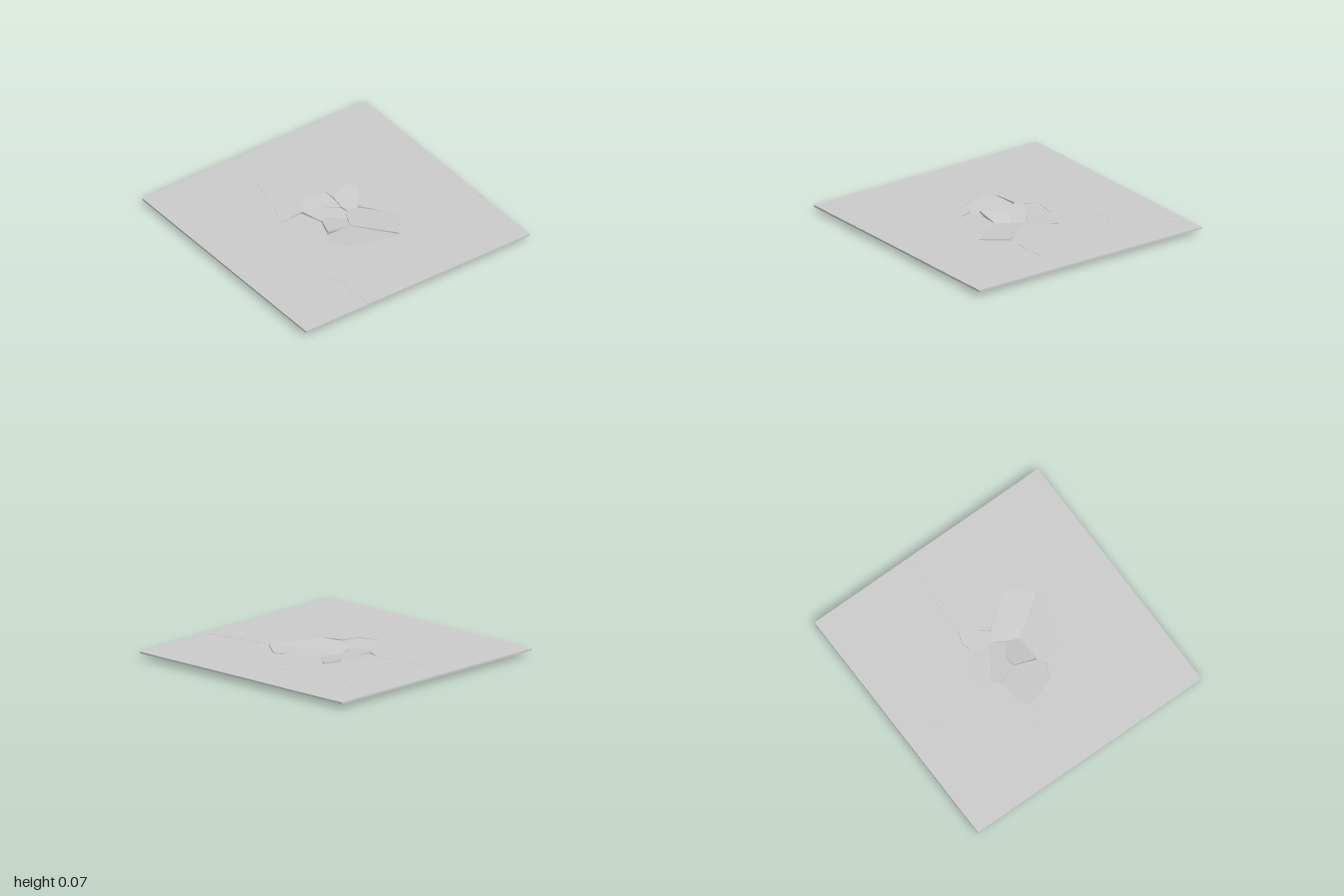
import * as THREE from 'three';

const THICKNESS = 0.015;

// crack junctions in plan: [x, z]
const P = {
  // corners and points on the rim
  nw: [-1, -1], ne: [1, -1], se: [1, 1], sw: [-1, 1],
  rimN: [-0.02, -1], rimNE: [0.94, -1], rimE: [1, -0.12], rimSE: [1, 0.44],
  rimS: [0.31, 1], rimSW: [-0.44, 1], rimW: [-1, -0.05],
  // ring around the crater
  a: [-0.17, -0.19], b: [-0.12, -0.23], c: [-0.08, -0.33], d: [0.11, -0.29],
  e: [0.12, -0.19], f: [0.11, -0.09], g: [0.12, -0.04], h: [0.2, -0.01],
  i: [0.38, 0.26], j: [0.24, 0.44], k: [0.23, 0.47], l: [-0.18, 0.33],
  m: [-0.23, 0.17], n: [-0.17, 0.13], o: [-0.11, -0.03], p: [0.03, 0.13],
  q: [-0.02, -0.04], tip: [0.07, 0.04], r: [0.34, -0.2], s: [0.23, -0.24],
  // outer cracks
  w1: [-0.35, -0.17], w2: [-0.43, -0.12], w3: [-0.57, -0.15], w4: [-0.36, 0.12],
  w5: [-0.6, 0.22], w6: [-0.56, 0.33], w7: [-0.44, 0.66],
  n1: [-0.12, -0.78], n2: [-0.03, -0.95], n3: [-0.22, -0.7], n4: [-0.33, -0.25],
  t1: [0.3, -0.45], t2: [0.32, -0.54], t3: [0.53, -0.55], t4: [0.66, -0.8],
  e1: [0.62, -0.2], e2: [0.74, 0.26],
};

// name, outline, plane of the upper face: y = base + dx * x + dz * z
const SHARDS = [
  ['sunkenShard', 'a b f g tip q o', 0.0242, -0.085, -0.08],
  ['upturnedShard', 'o q tip p n', 0.027, -0.2, 0.05],
  ['raisedShard', 'g h i j p tip', 0.0245, 0.06, 0.047],
  ['frontShard', 'm n p j k l', 0.0185, -0.027, 0.08],
  ['rightShard', 'a o n m w4 w2 w1', 0.0205, -0.07, 0],
  ['backShard', 'b c d e f', 0.0236, 0, -0.08],
  ['backLeftShard', 'f g h r s e', 0.0174, 0.06, -0.12],
];

// nearly level plates around the crater
const PLATES = [
  ['backRightPlate', 'nw rimN n2 n1 n3 n4 w1 w2 w3 rimW'],
  ['backNarrowPlate', 'n1 c b a w1 n4 n3'],
  ['backPlate', 'rimN rimNE t4 t3 t2 t1 d c n1 n2'],
  ['backLeftPlate', 'rimNE ne rimE e1 r s e d t1 t2 t3 t4'],
  ['leftInnerPlate', 'h r e1 e2 i'],
  ['leftPlate', 'e1 rimE rimSE e2'],
  ['frontLeftPlate', 'k j i e2 rimSE se rimS'],
  ['frontPlate', 'l k rimS rimSW w7'],
  ['rightPlate', 'rimW w3 w2 w4 m l w7 w6 w5'],
  ['frontRightPlate', 'rimW w5 w6 w7 rimSW sw'],
];

// extrudes an outline and shears it onto the plane of its upper face
function slabPiece(name, outline, base, dx, dz, material) {
  const points = outline.split(' ').map((key) => new THREE.Vector2(P[key][0], -P[key][1]));
  const geometry = new THREE.ExtrudeGeometry(new THREE.Shape(points), {
    depth: THICKNESS, bevelEnabled: false,
  });
  geometry.rotateX(-Math.PI / 2);
  const pos = geometry.attributes.position;
  for (let v = 0; v < pos.count; v++) {
    const lift = base - THICKNESS + dx * pos.getX(v) + dz * pos.getZ(v);
    pos.setY(v, Math.max(0, pos.getY(v) + lift));
  }
  geometry.computeVertexNormals();
  const mesh = new THREE.Mesh(geometry, material);
  mesh.name = name;
  return mesh;
}

export function createModel() {
  const model = new THREE.Group();
  model.name = 'crackedFloor';
  const material = new THREE.MeshStandardMaterial({ color: 0xcccccc, flatShading: true });

  const shards = new THREE.Group();
  shards.name = 'craterShards';
  for (const [name, outline, base, dx, dz] of SHARDS) {
    shards.add(slabPiece(name, outline, base, dx, dz, material));
  }

  // small steps in height make the hairline cracks
  const plates = new THREE.Group();
  plates.name = 'floorPlates';
  PLATES.forEach(([name, outline], index) => {
    const step = ((index * 2) % 3 - 1) * 0.0006;
    plates.add(slabPiece(name, outline, 0.05 + step, 0, 0, material));
  });

  model.add(shards, plates);
  return model;
}
